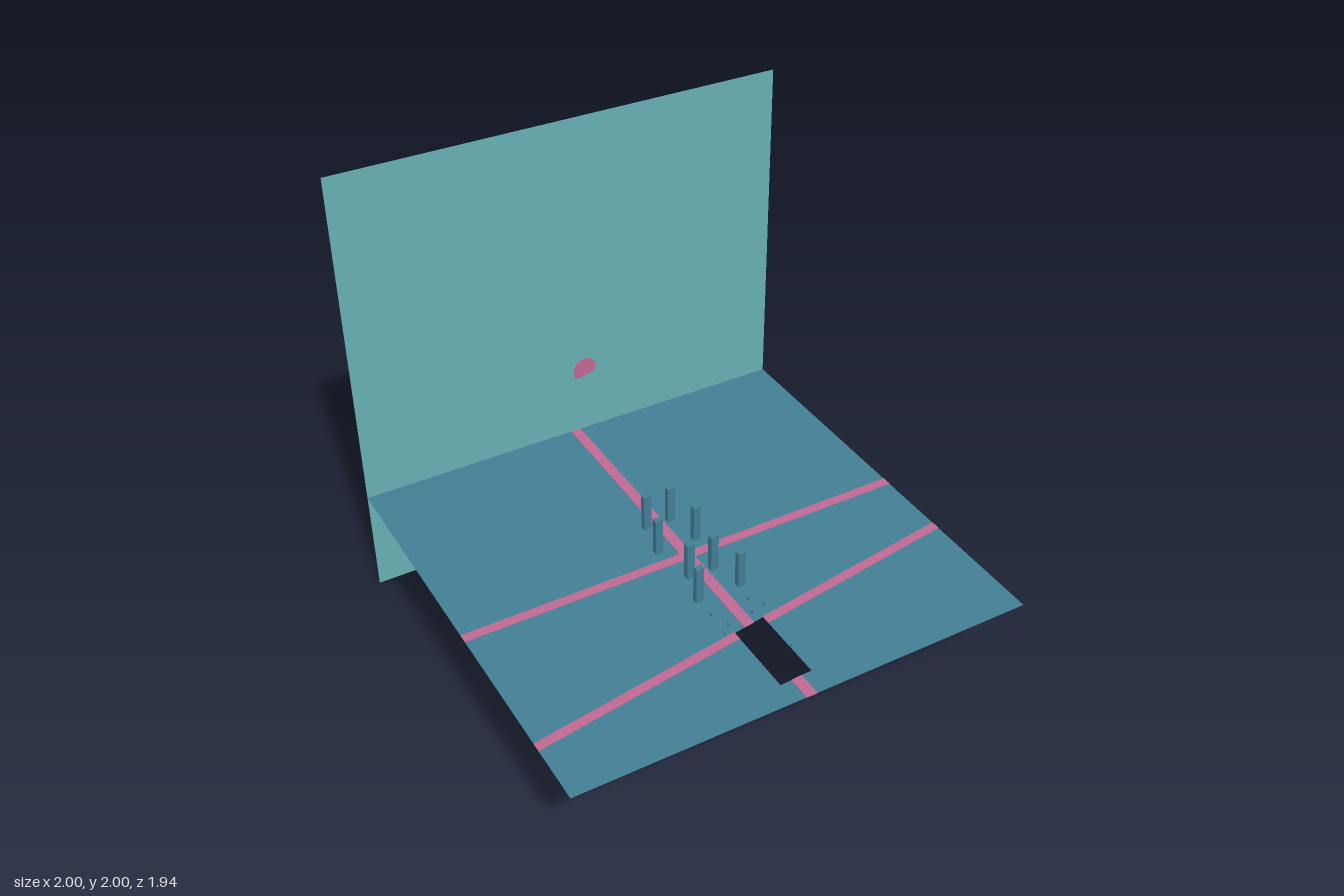
import * as THREE from 'three';

const mat = (name, color, side = THREE.FrontSide) => {
  const m = new THREE.MeshStandardMaterial({ color, side });
  m.name = name;
  return m;
};

export function createModel() {
  const model = new THREE.Group();
  const teal = mat('wall teal', 0x66afb3, THREE.DoubleSide);
  const blue = mat('ground blue', 0x437e96, THREE.DoubleSide);
  const pink = mat('path pink', 0xbf6994);
  const G = 0.48;      // ground level
  const D = 0.967;     // half depth
  const T = 0.004;     // painted plate thickness

  const add = (name, geometry, material, x = 0, y = 0, z = 0) => {
    const mesh = new THREE.Mesh(geometry, material);
    mesh.name = name;
    mesh.position.set(x, y, z);
    model.add(mesh);
    return mesh;
  };
  const outline = pts => pts.map(([x, z]) => new THREE.Vector2(x, -z));

  // Back wall, reaching below the ground
  add('backWall', new THREE.PlaneGeometry(2, 2), teal, 0, 1, -D);

  // Ground sheet with a four-sided opening near the front
  const ground = new THREE.Shape(outline([[-1, D], [1, D], [1, -D], [-1, -D]]));
  ground.holes.push(new THREE.Path(outline([[-0.073, 0.538], [0.07, 0.515], [0.07, 0.857], [-0.073, 0.865]])));
  add('ground', new THREE.ShapeGeometry(ground).rotateX(-Math.PI / 2), blue, 0, G, 0);

  // Painted paths, seen from above and below, stopping at the opening
  const path = (name, pts) => {
    const geo = new THREE.ExtrudeGeometry(new THREE.Shape(outline(pts)), { depth: T, bevelEnabled: false });
    add(name, geo.rotateX(-Math.PI / 2), pink, 0, G - T / 2, 0);
  };
  const w = 0.024;
  path('longPath', [[-w, 0.53], [w, 0.523], [w, -D], [-w, -D]]);
  path('longPathEnd', [[-w, D], [w, D], [w, 0.859], [-w, 0.863]]);
  path('crossPath', [[-1, 0.066], [1, 0.066], [1, 0.023], [-1, 0.023]]);
  const slant = x => 0.544 - 0.15 * x;
  for (const [name, a, b] of [['slantedPathRight', -1, -0.073], ['slantedPathLeft', 0.07, 1]]) {
    path(name, [[a, slant(a) + 0.021], [b, slant(b) + 0.021], [b, slant(b) - 0.021], [a, slant(a) - 0.021]]);
  }

  // Rounded patch painted through the wall
  const blob = new THREE.Shape();
  blob.moveTo(0.005, 0.775);
  blob.bezierCurveTo(0.0, 0.82, 0.02, 0.848, 0.06, 0.848);
  blob.bezierCurveTo(0.09, 0.848, 0.112, 0.825, 0.112, 0.8);
  blob.bezierCurveTo(0.112, 0.772, 0.085, 0.765, 0.06, 0.764);
  blob.lineTo(0.03, 0.752);
  blob.lineTo(0.008, 0.762);
  add('wallPatch', new THREE.ExtrudeGeometry(blob, { depth: T, bevelEnabled: false }), pink, 0, 0, -D - T / 2);

  // Four pairs of pillars along the long path: z, right x, left x
  const pillar = new THREE.BoxGeometry(0.034, 0.17, 0.026);
  for (const [z, right, left] of [[-0.195, -0.059, 0.054], [-0.036, -0.092, 0.086], [0.163, -0.059, 0.052], [0.304, -0.099, 0.094]]) {
    add('pillarRight', pillar, blue, right, G + 0.085, z);
    add('pillarLeft', pillar, blue, left, G + 0.085, z);
  }

  // Tiny stones scattered before the pillars
  const stone = new THREE.BoxGeometry(0.009, 0.012, 0.009);
  for (const [x, z] of [[-0.1, 0.408], [0.075, 0.398], [0.114, 0.453], [-0.07, 0.487], [0.047, 0.475], [-0.11, 0.525], [0.08, 0.706]]) {
    add('stone', stone, blue, x, G + 0.006, z);
  }
  return model;
}
